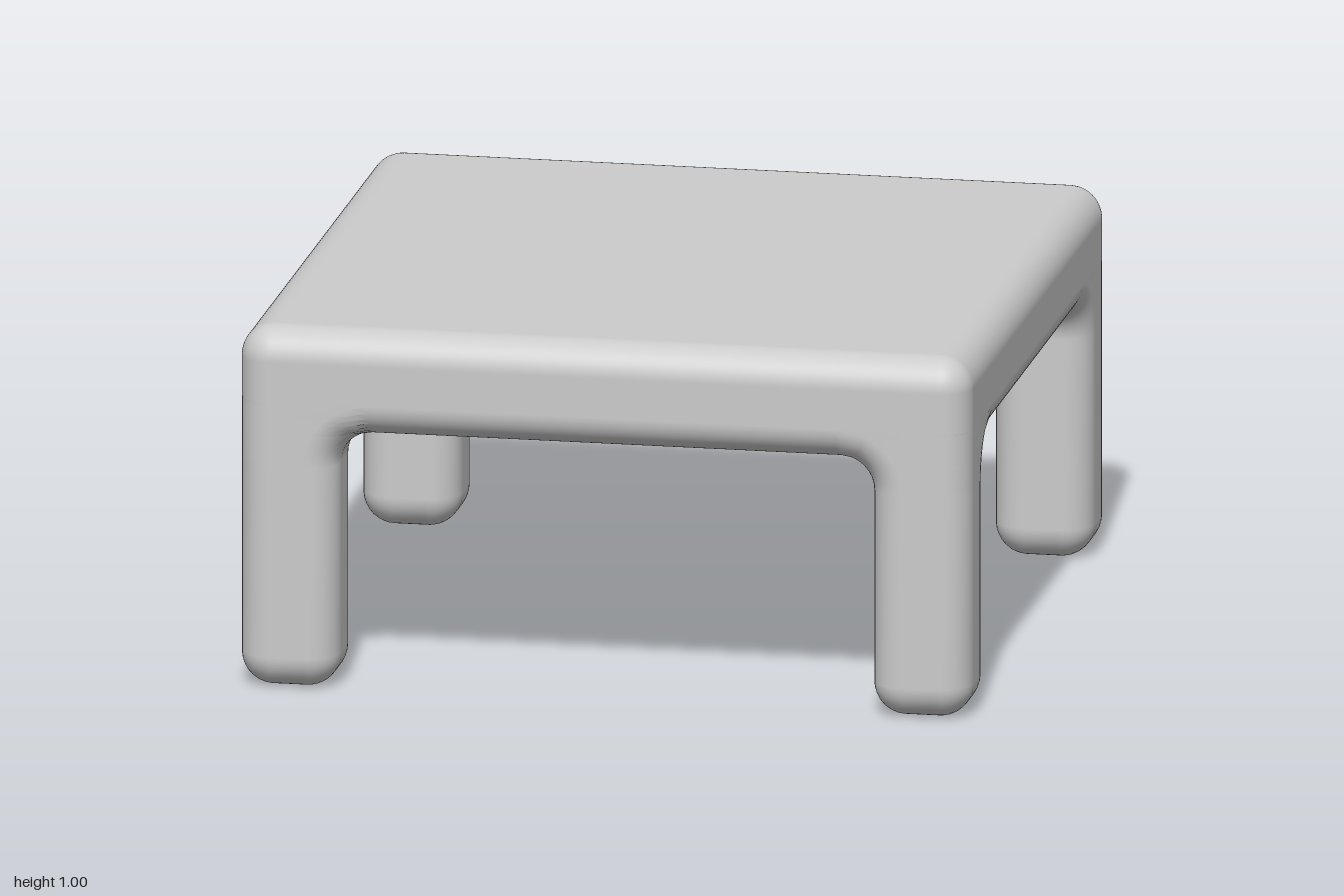
import * as THREE from 'three';
import { RoundedBoxGeometry } from 'three/addons/geometries/RoundedBoxGeometry.js';

const R = 0.09;        // edge rounding, also the fillet radius under the top
const INNER = 0.73;    // inner face of a leg
const UNDER = 0.71;    // underside of the top
const N = 8;           // segments per quarter round

// How far the leg spreads at height h above the fillet start, at edge inset i
const flare = (h, i) => R + i - Math.sqrt(Math.max(0, (R + i) ** 2 - h * h));

// Horizontal cross-section of the leg: four rounded corners
function ring(y, r) {
  const h = Math.max(0, y - (UNDER - R));
  const out = 1 - R, inn = INNER + R;
  const centres = [[out, out], [inn, out], [inn, inn], [out, inn]];
  const pts = [];
  centres.forEach(([cx, cz], k) => {
    for (let j = 0; j <= N; j++) {
      const a = (k + j / N) * Math.PI / 2;
      const c = Math.cos(a), s = Math.sin(a);
      const rad = k === 2 ? r + flare(h, 0) : r;
      let x = cx + rad * c, z = cz + rad * s;
      if (k === 1) x -= flare(h, R * (1 + c));
      if (k === 3) z -= flare(h, R * (1 + s));
      pts.push(x, y, z);
    }
  });
  return pts;
}

// Leg lofted from the rounded foot to the fillet that blends into the top
function legGeometry() {
  const levels = [];
  for (let j = 0; j <= N; j++) {
    const q = j / N * Math.PI / 2;
    levels.push([R * (1 - Math.cos(q)), R * Math.sin(q)]);
  }
  for (let j = 0; j <= N; j++) levels.push([UNDER - R + R * Math.sin(j / N * Math.PI / 2), R]);
  for (let j = 1; j <= N; j++) levels.push([UNDER + R * (1 - Math.cos(j / N * Math.PI / 2)), R]);

  const pos = levels.flatMap(([y, r]) => ring(y, r));
  const m = 4 * (N + 1);
  const index = [0, N + 1, 2 * (N + 1), 0, 2 * (N + 1), 3 * (N + 1)]; // sole
  for (let l = 0; l < levels.length - 1; l++) {
    for (let j = 0; j < m; j++) {
      const a = l * m + j, b = l * m + (j + 1) % m;
      index.push(a, a + m, b, b, a + m, b + m);
    }
  }
  const g = new THREE.BufferGeometry();
  g.setAttribute('position', new THREE.Float32BufferAttribute(pos, 3));
  g.setIndex(index);
  g.computeVertexNormals();
  return g;
}

export function createModel() {
  const group = new THREE.Group();
  group.name = 'table';
  const material = new THREE.MeshStandardMaterial({ color: 0xcccccc });

  // Thick rounded top
  const top = new THREE.Mesh(new RoundedBoxGeometry(2, 1 - UNDER, 2, N, R), material);
  top.name = 'tableTop';
  top.position.y = (1 + UNDER) / 2;
  group.add(top);

  // Four corner legs
  const geometry = legGeometry();
  ['frontLeftLeg', 'backLeftLeg', 'backRightLeg', 'frontRightLeg'].forEach((name, k) => {
    const leg = new THREE.Mesh(geometry, material);
    leg.name = name;
    leg.rotation.y = k * Math.PI / 2;
    group.add(leg);
  });
  return group;
}
